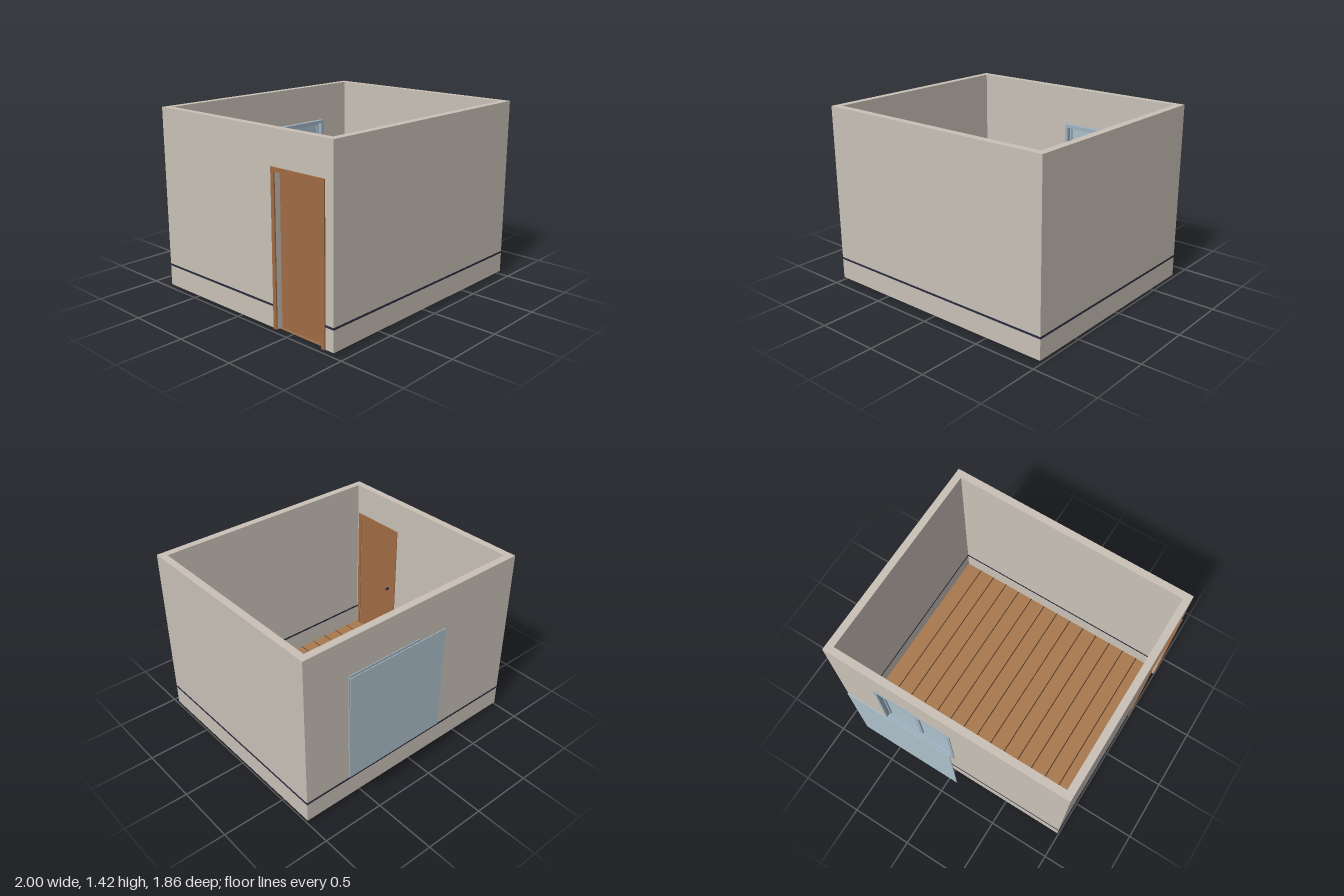
import * as THREE from 'three';

const flat = (name, color) => {
  const m = new THREE.MeshStandardMaterial({ color });
  m.name = name;
  return m;
};

export function createModel() {
  const room = new THREE.Group();
  room.name = 'room';
  const plaster = flat('plaster', 0xc9c1b7);
  const wood = flat('wood', 0xa8794f);
  const seam = flat('floor seam', 0x4a3423);
  const doorWood = flat('door wood', 0xa06c44);
  const navy = flat('navy trim', 0x2a2e3e);
  const frameBlue = flat('window frame', 0x9fb3c1);
  const glass = flat('glass', 0xacc0cb);

  // Box given by its extents along each axis
  const box = (parent, name, mat, x0, x1, y0, y1, z0, z1) => {
    const mesh = new THREE.Mesh(new THREE.BoxGeometry(x1 - x0, y1 - y0, z1 - z0), mat);
    mesh.position.set((x0 + x1) / 2, (y0 + y1) / 2, (z0 + z1) / 2);
    mesh.name = name;
    parent.add(mesh);
  };
  const group = (name) => {
    const g = new THREE.Group();
    g.name = name;
    room.add(g);
    return g;
  };
  // Four bars around an opening in the xy plane
  const border = (parent, name, mat, x0, x1, y0, y1, z0, z1, w) => {
    box(parent, name + 'Left', mat, x0, x0 + w, y0, y1, z0, z1);
    box(parent, name + 'Right', mat, x1 - w, x1, y0, y1, z0, z1);
    box(parent, name + 'Bottom', mat, x0 + w, x1 - w, y0, y0 + w, z0, z1);
    box(parent, name + 'Top', mat, x0 + w, x1 - w, y1 - w, y1, z0, z1);
  };

  // Outer and inner faces of the walls
  const X0 = -0.99, X1 = 0.998, Z0 = -0.794, Z1 = 0.926;
  const IX0 = -0.933, IX1 = 0.941, IZ0 = -0.737, IZ1 = 0.869;
  const base = 0.026, top = 1.42;
  // Window and door openings
  const wx0 = -0.03, wx1 = 0.625, wy0 = 0.48, wy1 = 1.12;
  const dz0 = 0.405, dz1 = 0.825, dTop = 1.135;

  // Floorboards with dark seams
  const floor = group('floor');
  const boards = 14, step = (IX1 - IX0) / boards, gap = 0.004;
  for (let i = 0; i < boards; i++) {
    const x = IX0 + i * step;
    box(floor, 'floorboard', wood, x + (i ? gap : 0), x + step - (i < boards - 1 ? gap : 0), 0, base, IZ0, IZ1);
    if (i) box(floor, 'floorSeam', seam, x - gap, x + gap, 0.002, base - 0.002, IZ0 + 0.002, IZ1 - 0.002);
  }

  // Walls
  const walls = group('walls');
  box(walls, 'frontWall', plaster, X0, X1, base, top, IZ1, Z1);
  box(walls, 'leftWall', plaster, IX1, X1, base, top, IZ0, IZ1);
  const back = new THREE.Shape([[X0, base], [X1, base], [X1, top], [X0, top]].map((p) => new THREE.Vector2(...p)));
  back.holes.push(new THREE.Path([[wx0, wy0], [wx0, wy1], [wx1, wy1], [wx1, wy0]].map((p) => new THREE.Vector2(...p))));
  const backWall = new THREE.Mesh(new THREE.ExtrudeGeometry(back, { depth: IZ0 - Z0, bevelEnabled: false }), plaster);
  backWall.position.z = Z0;
  backWall.name = 'backWall';
  walls.add(backWall);
  // Wall with the doorway
  const side = new THREE.Shape([[IZ0, base], [dz0, base], [dz0, dTop], [dz1, dTop], [dz1, base], [IZ1, base], [IZ1, top], [IZ0, top]]
    .map(([z, y]) => new THREE.Vector2(-z, y)));
  const rightWall = new THREE.Mesh(new THREE.ExtrudeGeometry(side, { depth: IX0 - X0, bevelEnabled: false }), plaster);
  rightWall.rotation.y = Math.PI / 2;
  rightWall.position.x = X0;
  rightWall.name = 'rightWall';
  walls.add(rightWall);

  // Navy stripe around both faces of every wall
  const stripes = group('stripes');
  const s0 = 0.185, s1 = 0.2, t = 0.003;
  for (const [z, dir] of [[Z1, 1], [Z0, -1]])
    box(stripes, 'outerStripe', navy, X0 - t, X1 + t, s0, s1, Math.min(z, z + dir * t), Math.max(z, z + dir * t));
  for (const [z, dir] of [[IZ1, -1], [IZ0, 1]])
    box(stripes, 'innerStripe', navy, IX0, IX1, s0, s1, Math.min(z, z + dir * t), Math.max(z, z + dir * t));
  box(stripes, 'outerStripe', navy, X1, X1 + t, s0, s1, Z0, Z1);
  box(stripes, 'innerStripe', navy, IX1 - t, IX1, s0, s1, IZ0, IZ1);
  for (const [a, b, c, d] of [[Z0, dz0 - 0.03, IZ0, dz0 - 0.03], [dz1 + 0.03, Z1, dz1 + 0.03, IZ1]]) {
    box(stripes, 'outerStripe', navy, X0 - t, X0, s0, s1, a, b);
    box(stripes, 'innerStripe', navy, IX0, IX0 + t, s0, s1, c, d);
  }

  // Door leaf, casings on both faces, and handle
  const door = group('door');
  box(door, 'doorLeaf', doorWood, -0.945, -0.934, base, dTop, dz0, dz1);
  for (const [a, b] of [[-1, X0], [IX0, IX0 + 0.006]]) {
    box(door, 'casingJamb', doorWood, a, b, base, dTop, dz0 - 0.03, dz0);
    box(door, 'casingJamb', doorWood, a, b, base, dTop, dz1, dz1 + 0.03);
    box(door, 'casingHead', doorWood, a, b, dTop, dTop + 0.03, dz0 - 0.03, dz1 + 0.03);
  }
  box(door, 'doorHandle', navy, -0.934, -0.9, 0.57, 0.585, 0.448, 0.462);

  // Window frame with two sashes
  const win = group('window');
  border(win, 'frame', frameBlue, wx0, wx1, wy0, wy1, -0.8, -0.7, 0.025);
  const mid = (wx0 + wx1) / 2;
  for (const [a, b] of [[wx0 + 0.025, mid], [mid, wx1 - 0.025]]) {
    border(win, 'sash', frameBlue, a, b, wy0 + 0.025, wy1 - 0.025, -0.765, -0.735, 0.016);
    box(win, 'pane', glass, a + 0.016, b - 0.016, wy0 + 0.041, wy1 - 0.041, -0.753, -0.747);
  }

  // Flat sky panel standing behind the window
  box(room, 'skyPanel', glass, -0.13, 0.728, 0.375, 1.23, -0.929, -0.924);
  return room;
}
